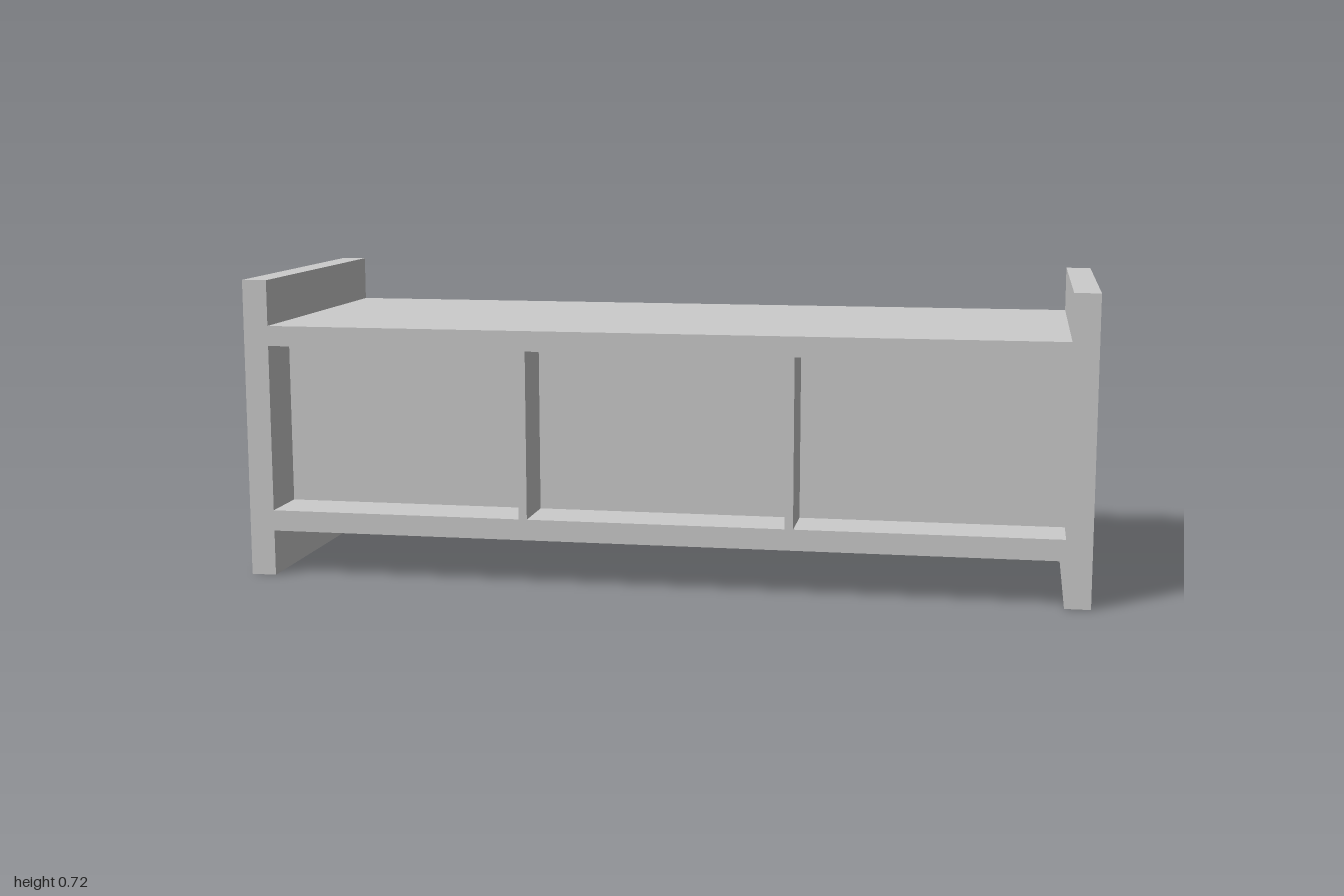
import * as THREE from 'three';

const DEPTH = 0.352;     // half depth of the whole bench
const INNER = 0.217;     // half depth of the tunnel through the middle
const END = 0.06;        // thickness of the end frames
const SPAN = 2 - 2 * END;
const LOW = 0.16, HIGH = 0.56; // opening heights

const grey = new THREE.MeshStandardMaterial({ color: 0xcccccc, flatShading: true });
const pale = new THREE.MeshStandardMaterial({ color: 0xdddddd, flatShading: true });

function polygon(points) {
  return new THREE.Shape(points.map(([z, y]) => new THREE.Vector2(z, y)));
}

function rect(halfWidth, y0, y1) {
  return [[-halfWidth, y0], [halfWidth, y0], [halfWidth, y1], [-halfWidth, y1]];
}

// Extrudes a (z, y) profile along x, centred on the given x
function alongX(name, shape, length, x) {
  const geometry = new THREE.ExtrudeGeometry(shape, { depth: length, bevelEnabled: false });
  geometry.translate(0, 0, -length / 2).rotateY(-Math.PI / 2);
  const mesh = new THREE.Mesh(geometry, grey);
  mesh.name = name;
  mesh.position.x = x;
  return mesh;
}

function box(name, x0, x1, y0, y1, z, thickness, material) {
  const mesh = new THREE.Mesh(new THREE.BoxGeometry(x1 - x0, y1 - y0, thickness), material);
  mesh.name = name;
  mesh.position.set((x0 + x1) / 2, (y0 + y1) / 2, z);
  return mesh;
}

export function createModel() {
  const model = new THREE.Group();
  model.name = 'bench';

  // Square end frames with a window into the tunnel
  for (const side of [-1, 1]) {
    const frame = polygon(rect(DEPTH, 0, 0.717));
    frame.holes.push(polygon(rect(INNER, 0.142, 0.576)));
    model.add(alongX(side > 0 ? 'leftEndFrame' : 'rightEndFrame', frame, END, side * (1 - END / 2)));
  }

  // Floor and top slabs, each with a thicker rail along the front and back
  const slab = (outer, inner, rail) => polygon([
    [-DEPTH, outer], [DEPTH, outer], [DEPTH, rail], [INNER, rail],
    [INNER, inner], [-INNER, inner], [-INNER, rail], [-DEPTH, rail],
  ]);
  model.add(alongX('floorSlab', slab(0.11, 0.142, LOW), SPAN, 0));
  model.add(alongX('topSlab', slab(0.608, 0.576, HIGH), SPAN, 0));

  // Dividers and thin recessed panels on the front and back
  const edges = [[-0.94, -0.33], [-0.31, 0.302], [0.322, 0.94]];
  for (const side of [1, -1]) {
    const wall = new THREE.Group();
    wall.name = side > 0 ? 'frontWall' : 'backWall';
    edges.forEach(([x0, x1], i) => {
      wall.add(box('panel', x0, x1, LOW, HIGH, side * (INNER - 0.0005), 0.004, pale));
      if (i < 2) {
        wall.add(box('divider', x1, edges[i + 1][0], LOW, HIGH, side * (DEPTH + INNER) / 2, DEPTH - INNER, grey));
      }
    });
    model.add(wall);
  }

  return model;
}
